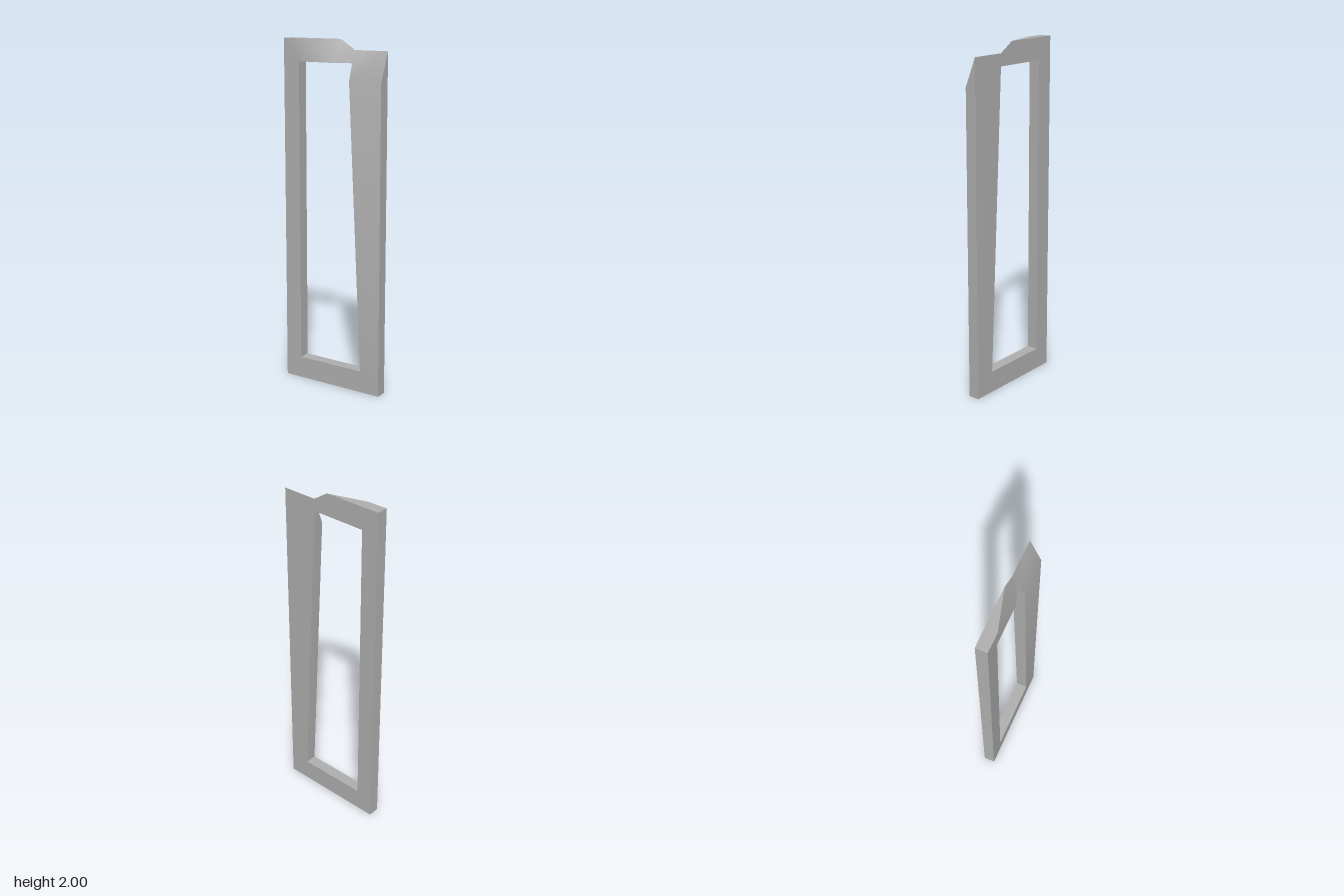
import * as THREE from 'three';
import { toCreasedNormals } from 'three/addons/utils/BufferGeometryUtils.js';

const D = 0.033; // half thickness
const front = (x, y) => [x, y, D];
const back = (x, y) => [x, y, -D];
const pair = (x, y) => ({ f: front(x, y), b: back(x, y) });

// Convex faces, each fanned from its first corner
function facesToGeometry(faces) {
  const pos = [];
  for (const p of faces) {
    for (let i = 1; i < p.length - 1; i++) pos.push(...p[0], ...p[i], ...p[i + 1]);
  }
  const geo = new THREE.BufferGeometry();
  geo.setAttribute('position', new THREE.Float32BufferAttribute(pos, 3));
  return toCreasedNormals(geo, THREE.MathUtils.degToRad(35));
}

export function createModel() {
  const grey = new THREE.MeshStandardMaterial({ color: 0xb0b0b0 });
  grey.name = 'plain grey';

  // Outer corners
  const bl = pair(-0.32, 0), br = pair(0.32, 0), tl = pair(-0.32, 2);
  // Opening corners
  const hbl = pair(-0.218, 0.127), hbr = pair(0.197, 0.127), htl = pair(-0.218, 1.873);
  const htrBack = back(0.111, 1.873);
  // Sloped cut across the upper corner: front edge, back edge and its meeting with the opening
  const f0 = front(-0.207, 2), f1 = front(0.008, 1.873);
  const f2 = front(0.116, 1.78), f3 = front(0.32, 1.78);
  const b0 = back(0.02, 2), b1 = back(0.111, 1.943), b2 = back(0.32, 1.943);
  const m = [0.111, 1.873, -0.005];

  const faces = [
    // Front face
    [bl.f, br.f, hbr.f, hbl.f],
    [br.f, f3, f2, hbr.f],
    [htl.f, f1, f0, tl.f],
    [bl.f, hbl.f, htl.f, tl.f],
    // Sloped cut
    [b2, b1, m, f2, f3],
    [f1, m, b1, b0, f0],
    // Back face
    [hbl.b, hbr.b, br.b, bl.b],
    [hbr.b, htrBack, b1, b2, br.b],
    [htl.b, tl.b, b0, b1, htrBack],
    [bl.b, tl.b, htl.b, hbl.b],
    // Outer edges: bottom, right, top, left
    [bl.f, bl.b, br.b, br.f],
    [br.f, br.b, b2, f3],
    [f0, b0, tl.b, tl.f],
    [tl.f, tl.b, bl.b, bl.f],
    // Opening edges: sill, straight jamb, head, slanted jamb
    [hbr.f, hbr.b, hbl.b, hbl.f],
    [hbl.f, hbl.b, htl.b, htl.f],
    [htl.f, htl.b, htrBack, m, f1],
    [m, htrBack, hbr.b, hbr.f, f2],
  ];

  const frame = new THREE.Mesh(facesToGeometry(faces), grey);
  frame.name = 'frame';

  const group = new THREE.Group();
  group.name = 'notched frame';
  group.add(frame);
  return group;
}
